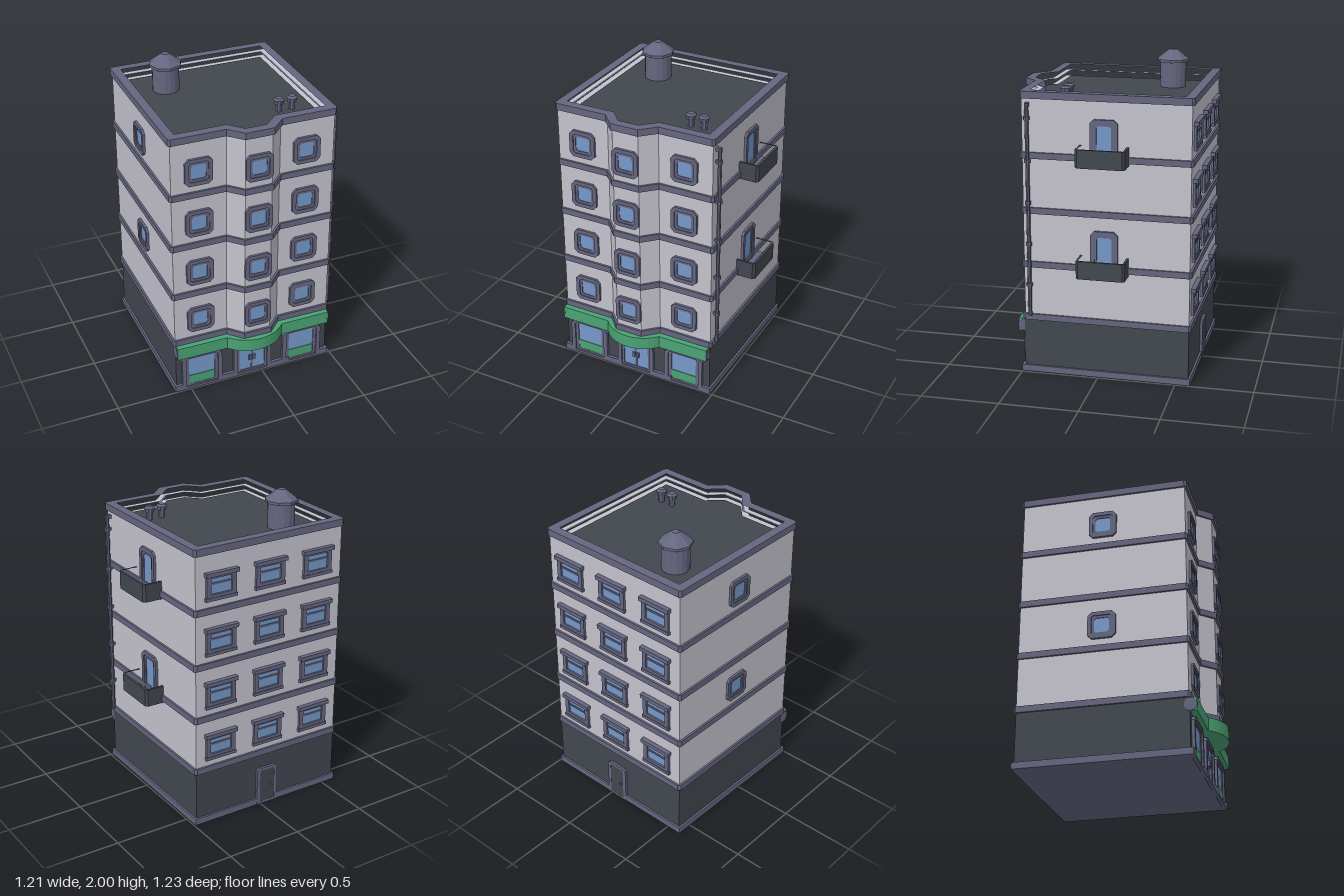
import * as THREE from 'three';

const mat = (name, color) => {
  const m = new THREE.MeshStandardMaterial({ color });
  m.name = name;
  return m;
};

export function createModel() {
  const wall = mat('pale wall', 0xc4c2cc), trim = mat('slate trim', 0x656680);
  const dark = mat('dark stone', 0x42474f), glass = mat('blue glass', 0x7598c8);
  const green = mat('shop green', 0x4aa374);
  const root = new THREE.Group();
  root.name = 'apartmentBlock';

  const add = (name, geo, m, x = 0, y = 0, z = 0, parent = root) => {
    const mesh = new THREE.Mesh(geo, m);
    mesh.name = name;
    mesh.position.set(x, y, z);
    parent.add(mesh);
    return mesh;
  };
  // Box given by its limits
  const box = (name, m, x0, x1, y0, y1, z0, z1, parent = root) =>
    add(name, new THREE.BoxGeometry(x1 - x0, y1 - y0, z1 - z0), m, (x0 + x1) / 2, (y0 + y1) / 2, (z0 + z1) / 2, parent);
  // Faceted cylinder
  const cyl = (name, m, rTop, rBottom, y0, y1, x, z, sides = 8) => {
    const g = new THREE.CylinderGeometry(rTop, rBottom, y1 - y0, sides).toNonIndexed();
    g.computeVertexNormals();
    return add(name, g, m, x, (y0 + y1) / 2, z);
  };
  const toShape = (pts) => new THREE.Shape(pts.map(([x, y]) => new THREE.Vector2(x, y)));
  const toHole = (pts) => new THREE.Path(pts.map(([x, y]) => new THREE.Vector2(x, y)));
  // Upright prism from a plan of [x, z] points
  const prism = (name, m, plan, y0, y1, hole) => {
    const flip = (p) => p.map(([x, z]) => [x, -z]);
    const s = toShape(flip(plan));
    if (hole) s.holes.push(toHole(flip(hole)));
    const g = new THREE.ExtrudeGeometry(s, { depth: y1 - y0, bevelEnabled: false });
    g.rotateX(-Math.PI / 2);
    return add(name, g, m, 0, y0, 0);
  };
  // Building plan with front bay, grown by d, corners cut by c
  const plan = (d, c = 0) => {
    const l = -0.59 - d, r = 0.475 + d, b = -0.585 - d, f = 0.475 + d, k = 0.41 * d;
    const bay = [[0.115 + k, f], [0.025 + k, f + 0.09], [-0.15 - k, f + 0.09], [-0.235 - k, f]];
    if (!c) return [[l, b], [r, b], [r, f], ...bay, [l, f]];
    return [[l + c, b], [r - c, b], [r, b + c], [r, f - c], [r - c, f], ...bay, [l + c, f], [l, f - c], [l, b + c]];
  };
  // Rectangle with cut corners; cb is the cut at the bottom
  const cutRect = (w, h, c, cb = c) => {
    const x = w / 2, y = h / 2;
    return [[-x + cb, -y], [x - cb, -y], [x, -y + cb], [x, y - c], [x - c, y], [-x + c, y], [-x, y - c], [-x, -y + cb]];
  };
  const plate = (name, m, outer, depth, parent, hole, y = 0, z = 0) => {
    const s = toShape(outer);
    if (hole) s.holes.push(toHole(hole.map(([x, py]) => [x, py + (hole.dy || 0)])));
    return add(name, new THREE.ExtrudeGeometry(s, { depth, bevelEnabled: false }), m, 0, y, z, parent);
  };
  const group = (name, x, y, z, turn = 0) => {
    const g = new THREE.Group();
    g.name = name;
    g.position.set(x, y, z);
    g.rotation.y = turn;
    root.add(g);
    return g;
  };
  // Stepped frame with glass, facing +z
  const windowUnit = (name, x, y, z, turn, w = 0.178, h = 0.178) => {
    const g = group(name, x, y, z, turn);
    plate('outerFrame', trim, cutRect(w, h, 0.025), 0.016, g, cutRect(w - 0.05, h - 0.05, 0.012));
    plate('innerFrame', trim, cutRect(w - 0.05, h - 0.05, 0.012), 0.009, g, cutRect(w - 0.082, h - 0.082, 0.012));
    plate('pane', glass, cutRect(w - 0.082, h - 0.082, 0.012), 0.004, g);
    return g;
  };

  // Main walls, roof and parapet
  prism('upperWalls', wall, plan(0), 0.36, 1.75);
  prism('parapetWall', wall, plan(0), 1.75, 1.79, plan(-0.03));
  prism('parapetLining', trim, plan(-0.03), 1.75, 1.79, plan(-0.045));
  prism('parapetCap', trim, plan(0.013, 0.015), 1.79, 1.835, plan(-0.045));
  prism('roof', dark, plan(-0.045), 1.75, 1.756);
  for (const y of [0.376, 0.729, 1.082, 1.435]) prism('floorBand', trim, plan(0.013, 0.015), y - 0.02, y + 0.02);

  // Front and back windows on four floors
  for (let i = 0; i < 4; i++) {
    const y = 0.53 + 0.353 * i;
    for (const x of [-0.415, -0.062, 0.29]) windowUnit('frontWindow', x, y, x === -0.062 ? 0.565 : 0.475, 0);
    for (const x of [-0.405, -0.052, 0.3]) {
      const g = group('backWindow', x, y, -0.585, Math.PI);
      plate('frame', trim, cutRect(0.21, 0.17, 0.001), 0.016, g, cutRect(0.15, 0.1, 0.001));
      plate('pane', glass, cutRect(0.15, 0.1, 0.001), 0.004, g);
      box('crossBar', trim, -0.075, 0.075, 0.008, 0.02, 0, 0.01, g);
      box('lintel', trim, -0.115, 0.115, 0.064, 0.09, 0, 0.03, g);
      box('sill', trim, -0.11, 0.11, -0.09, -0.07, 0, 0.02, g);
    }
  }

  // Side windows and balconies on the second and fourth floors
  for (const y of [0.695, 1.4]) {
    windowUnit('sideWindow', -0.59, y + 0.187, -0.055, -Math.PI / 2);
    windowUnit('balconyDoor', 0.475, y + 0.14, -0.045, Math.PI / 2, 0.175, 0.28);
    const a = 0.47, b = 0.602, c = 0.015;
    const outer = [[a, -0.2], [b - c, -0.2], [b, -0.2 + c], [b, 0.11 - c], [b - c, 0.11], [a, 0.11]];
    const inner = [[a + 0.003, -0.186], [b - 0.016, -0.186], [b - 0.016, 0.096], [a + 0.003, 0.096]];
    prism('balconyRail', dark, outer, y, y + 0.115, inner);
    box('balconySlab', dark, a, b - 0.015, y + 0.001, y + 0.014, -0.19, 0.1);
    box('balconyFloor', trim, a, b - 0.015, y + 0.014, y + 0.02, -0.19, 0.1);
  }

  // Ground floor and plinth
  box('groundFloor', dark, -0.59, 0.475, 0.01, 0.36, -0.585, 0.48);
  box('plinth', trim, -0.603, 0.488, 0, 0.042, -0.598, 0.478);
  for (const [x0, x1] of [[-0.603, -0.535], [-0.285, -0.185], [0.06, 0.205], [0.4, 0.488]])
    box('plinthBlock', trim, x0, x1, 0, 0.042, 0.47, 0.5);

  // Shop windows and entrance
  for (const [x, w] of [[-0.415, 0.275], [-0.062, 0.265], [0.292, 0.275]]) {
    const door = w < 0.27;
    const g = group(door ? 'entrance' : 'shopWindow', x, 0.13, 0.48);
    plate('surround', trim, cutRect(w, 0.26, 0.03, 0.001), 0.02, g, cutRect(w - 0.055, 0.225, 0.015, 0.001));
    plate('innerFrame', trim, cutRect(w - 0.055, 0.225, 0.015, 0.001), 0.01, g, cutRect(0.178, 0.2, 0.006));
    plate('pane', glass, cutRect(0.178, 0.2, 0.006), 0.004, g);
    if (door) {
      box('doorSplit', trim, -0.006, 0.006, -0.1, 0.1, 0, 0.009, g);
      for (const s of [-1, 1]) box('handle', trim, s * 0.014 - 0.009, s * 0.014 + 0.009, -0.025, 0.01, 0, 0.018, g);
    } else box('lowerPanel', green, -0.088, 0.088, -0.1, -0.035, 0.002, 0.008, g);
  }

  // Awning with a bowed centre and round end caps
  const awning = [[-0.585, 0.475], [-0.59, 0.522]];
  for (let i = 0; i <= 12; i++) {
    const t = -0.885 + (1.77 * i) / 12;
    awning.push([-0.06 + 0.2456 * Math.sin(t), 0.369 + 0.2456 * Math.cos(t)]);
  }
  awning.push([0.468, 0.522], [0.468, 0.475]);
  prism('awning', green, awning, 0.27, 0.355);
  for (const x of [-0.588, 0.468]) {
    const cap = cyl('awningEnd', trim, 0.041, 0.041, 0.306, 0.318, x, 0.485, 12);
    cap.rotation.z = Math.PI / 2;
  }

  // Back door
  const back = group('backDoor', -0.055, 0.13, -0.585, Math.PI);
  plate('doorFrame', trim, cutRect(0.155, 0.26, 0.015, 0.001), 0.016, back, cutRect(0.11, 0.225, 0.008, 0.001));
  plate('doorLeaf', dark, cutRect(0.11, 0.225, 0.008, 0.001), 0.015, back);
  box('doorKnob', trim, 0.03, 0.043, -0.012, 0.003, 0.01, 0.024, back);

  // Drainpipe with clamps and elbows
  cyl('drainpipe', trim, 0.013, 0.013, 0.39, 1.765, 0.5, 0.435);
  for (let i = 0; i < 5; i++) {
    const y = 0.6 + 0.268 * i;
    cyl('pipeClamp', trim, 0.02, 0.02, y - 0.011, y + 0.011, 0.5, 0.435);
    box('pipeBracket', trim, 0.47, 0.5, y - 0.008, y + 0.008, 0.427, 0.443);
  }
  box('pipeElbow', trim, 0.47, 0.508, 1.742, 1.766, 0.424, 0.446);

  // Roof tank and vents
  cyl('tank', trim, 0.086, 0.086, 1.75, 1.925, -0.32, -0.32, 16);
  cyl('tankRim', trim, 0.105, 0.105, 1.92, 1.937, -0.32, -0.32);
  cyl('tankRoof', trim, 0.025, 0.105, 1.937, 2, -0.32, -0.32);
  for (const x of [0.21, 0.298]) {
    cyl('ventPipe', trim, 0.02, 0.02, 1.75, 1.82, x, 0.24);
    cyl('ventCollar', trim, 0.035, 0.028, 1.805, 1.832, x, 0.24);
    cyl('ventCap', trim, 0.022, 0.035, 1.832, 1.845, x, 0.24);
  }

  root.rotation.y = -0.007;
  const model = new THREE.Group();
  model.name = 'building';
  model.add(root);
  return model;
}
